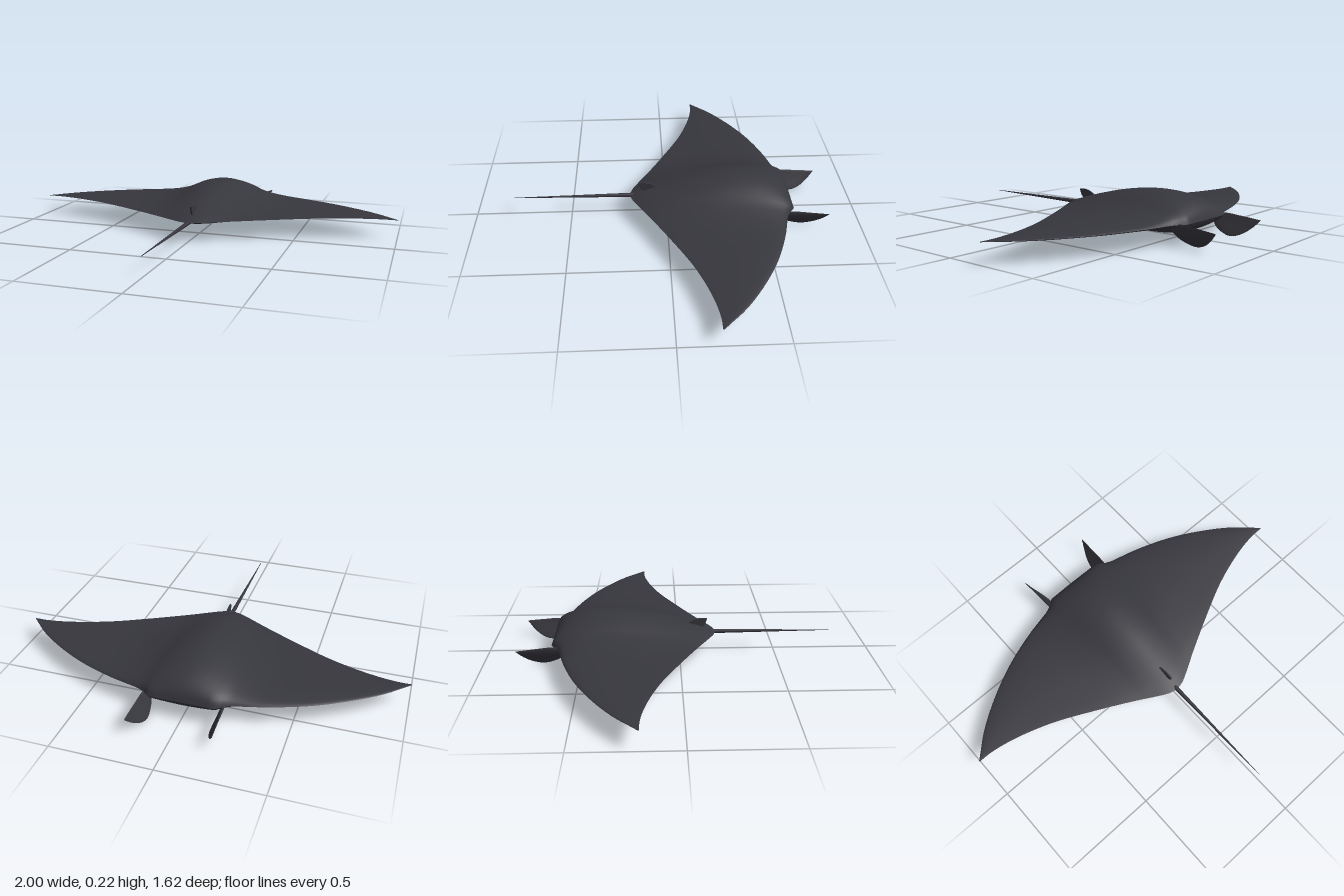
import * as THREE from 'three';

const skin = new THREE.MeshStandardMaterial({ color: 0x36363d });
skin.name = 'charcoal skin';

// Smooth curve through [position, value] pairs
function curve(points) {
  const c = new THREE.CubicInterpolant(points.map(p => p[0]), points.map(p => p[1]), 1);
  return x => c.evaluate(x)[0];
}

// Surface from a grid of points; fn(i, j) returns [x, y, z]
function gridSurface(nu, nv, fn, flip = false) {
  const pos = [], index = [];
  for (let i = 0; i <= nu; i++) for (let j = 0; j <= nv; j++) pos.push(...fn(i, j));
  for (let i = 0; i < nu; i++) for (let j = 0; j < nv; j++) {
    const a = i * (nv + 1) + j, b = a + 1, c = a + nv + 1, d = c + 1;
    if (flip) index.push(a, c, b, b, c, d);
    else index.push(a, b, c, b, d, c);
  }
  const g = new THREE.BufferGeometry();
  g.setAttribute('position', new THREE.Float32BufferAttribute(pos, 3));
  g.setIndex(index);
  g.computeVertexNormals();
  return g;
}

function addMesh(group, name, geometry) {
  const m = new THREE.Mesh(geometry, skin);
  m.name = name;
  group.add(m);
  return m;
}

const MID = 0.102;

// Wing outline, thickness across the span and thickness along the chord
const wingLead = curve([[0.235, -0.605], [0.4, -0.562], [0.6, -0.485], [0.8, -0.37], [0.9, -0.295], [0.97, -0.228], [1, -0.2]]);
function leadingEdge(x) {
  if (x <= 0.16) return -0.65;
  if (x <= 0.2) return -0.65 + (x - 0.16) * 0.75;
  if (x <= 0.235) return -0.62 + (x - 0.2) * 0.43;
  return wingLead(x);
}
const trailingEdge = curve([[0, 0.19], [0.04, 0.182], [0.1, 0.152], [0.2, 0.095], [0.4, -0.01], [0.6, -0.105], [0.8, -0.17], [0.93, -0.193], [1, -0.194]]);
const topHeight = curve([[-0.1, 0.104], [0, 0.122], [0.1, 0.104], [0.2, 0.062], [0.3, 0.035], [0.4, 0.023], [0.6, 0.014], [0.8, 0.008], [1, 0.001]]);
const bellyDepth = curve([[-0.1, 0.072], [0, 0.082], [0.1, 0.072], [0.2, 0.042], [0.3, 0.025], [0.4, 0.018], [0.6, 0.012], [0.8, 0.008], [1, 0.001]]);
const chordShape = curve([[0, 0], [0.015, 0.27], [0.05, 0.54], [0.1, 0.74], [0.18, 0.91], [0.33, 1], [0.54, 0.87], [0.77, 0.52], [0.89, 0.29], [1, 0.05]]);

function bodySheet(height, sign) {
  const half = [0, 0.025, 0.05, 0.075, 0.1, 0.13, 0.16, 0.18, 0.2, 0.218, 0.235];
  for (let k = 1; k <= 22; k++) half.push(0.235 + 0.765 * (1 - (1 - k / 22) ** 1.25));
  const xs = [...half.slice(1).reverse().map(x => -x), ...half];
  const nv = 32;
  return gridSurface(xs.length - 1, nv, (i, j) => {
    const x = Math.abs(xs[i]), t = (j / nv) ** 1.7;
    const z = THREE.MathUtils.lerp(leadingEdge(x), trailingEdge(x), t);
    const edge = j === 0 || j === nv ? 0 : 1;
    return [xs[i], MID + sign * edge * height(x) * chordShape(t), z];
  }, sign < 0);
}

// Curled, flattened head lobe on the +x side
function headFinGeometry() {
  const top = curve([[0, 0.1], [0.25, 0.107], [0.6, 0.1], [1, 0.09]]);
  const bottom = curve([[0, 0.065], [0.08, 0.04], [0.28, 0.013], [0.46, 0.003], [0.68, 0.018], [0.87, 0.052], [1, 0.087]]);
  const nu = 20, nv = 20;
  return gridSurface(nu, nv, (i, j) => {
    const u = i / nu, a = j / nv * Math.PI * 2;
    const mid = (top(u) + bottom(u)) / 2, half = (top(u) - bottom(u)) / 2;
    const y = mid + half * Math.cos(a);
    const curl = 0.045 * (Math.max(0, 0.105 - y) / 0.1) ** 1.4;
    const thickness = 0.009 * (1 - 0.75 * u);
    return [0.192 + 0.016 * u - curl + thickness * Math.sin(a), y, -0.58 - 0.245 * u];
  });
}

// Thin swept fin, outlined in z and y
function dorsalFinGeometry() {
  const s = new THREE.Shape();
  s.moveTo(0.04, 0.11);
  s.lineTo(0.05, 0.15);
  s.quadraticCurveTo(0.09, 0.182, 0.146, 0.174);
  s.quadraticCurveTo(0.142, 0.145, 0.122, 0.128);
  s.lineTo(0.13, 0.105);
  const g = new THREE.ExtrudeGeometry(s, { depth: 0.008, bevelEnabled: false, curveSegments: 10 });
  g.translate(0, 0, -0.004);
  g.rotateY(-Math.PI / 2);
  return g;
}

export function createModel() {
  const model = new THREE.Group();
  model.name = 'manta ray';

  addMesh(model, 'back', bodySheet(topHeight, 1));
  addMesh(model, 'belly', bodySheet(bellyDepth, -1));

  // Head lobes
  const fin = headFinGeometry();
  for (const side of [1, -1]) {
    addMesh(model, side > 0 ? 'leftHeadFin' : 'rightHeadFin', fin).scale.x = side;
  }

  addMesh(model, 'dorsalFin', dorsalFinGeometry());

  // Whip tail, tapering to the end
  const tail = new THREE.CylinderGeometry(0.0012, 0.012, 0.67, 10, 4);
  tail.rotateX(Math.PI / 2);
  tail.translate(0, MID - 0.001, 0.46);
  addMesh(model, 'tail', tail);

  return model;
}
